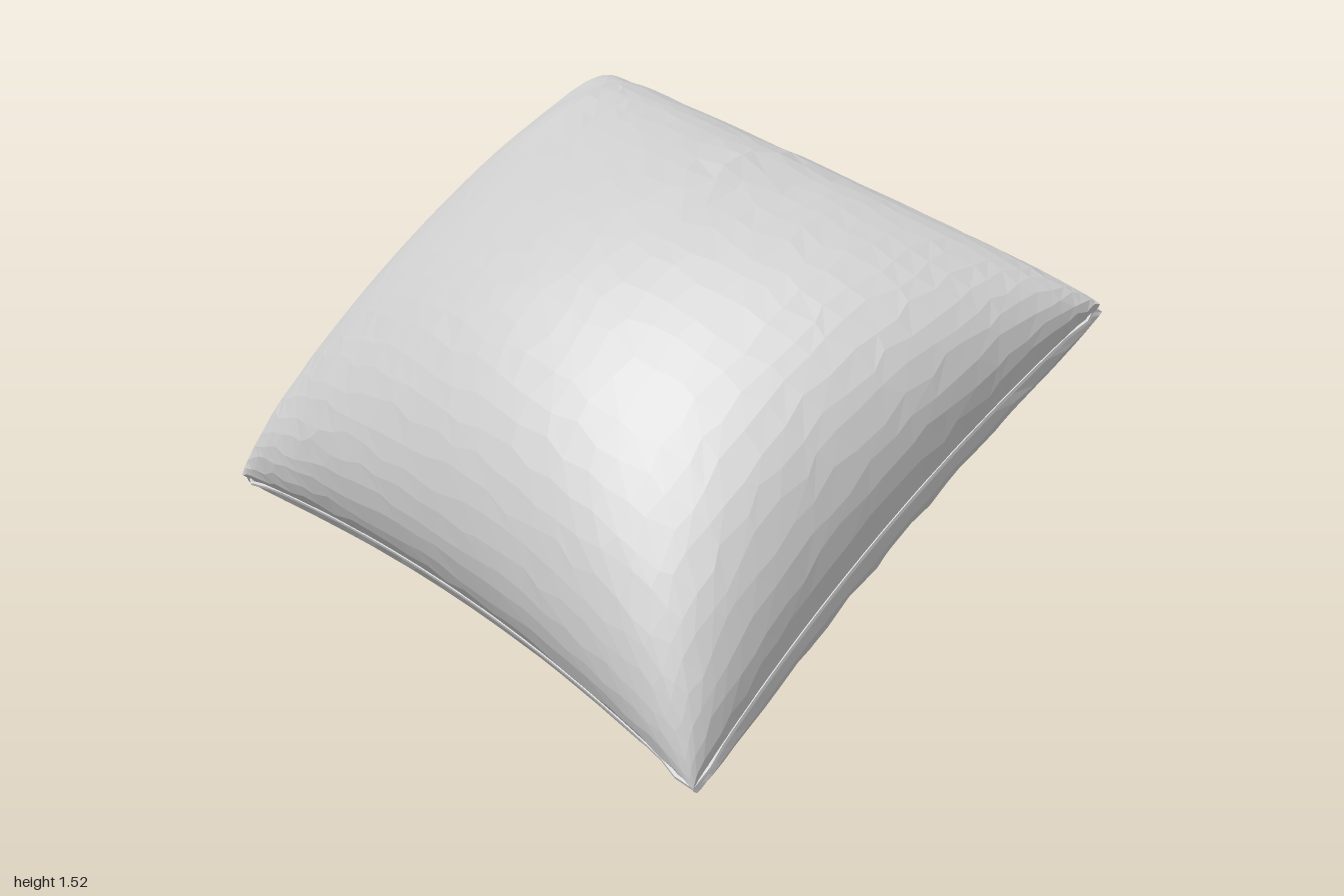
import * as THREE from 'three';

// Seam corners: a runs from the low edge to the high edge, b from front to back
const LOW_FRONT = new THREE.Vector3(-0.45, 0.005, 0.995);
const HIGH_FRONT = new THREE.Vector3(0.805, 1.06, 0.985);
const HIGH_BACK = new THREE.Vector3(0.515, 1.475, -0.99);
const LOW_BACK = new THREE.Vector3(-0.795, 0.36, -0.98);
const NORMAL = new THREE.Vector3(-0.629, 0.737, 0.245);
const NA = 30, NB = 34;

// Dome height and fullness towards each edge (lower power = fuller)
const UPPER = { side: 1, height: 0.53, low: 0.88, high: 0.7, front: 0.82, back: 0.82 };
const LOWER = { side: -1, height: 0.3, low: 0.62, high: 0.55, front: 0.8, back: 0.55 };

// Small repeatable noise in -0.5..0.5
const noise = (i, j, k) => {
  const s = Math.sin(i * 127.1 + j * 311.7 + k * 74.7) * 43758.5453;
  return s - Math.floor(s) - 0.5;
};

// Point in the plane of the seam, with the four edges drawn inward
function seamPoint(a, b) {
  const a2 = a * (1 - (a > 0 ? 0.055 : 0.09) * (1 - b * b));
  const b2 = b * (1 - (b > 0 ? 0.04 : 0.065) * (1 - a * a));
  const front = LOW_FRONT.clone().lerp(HIGH_FRONT, (a2 + 1) / 2);
  const back = LOW_BACK.clone().lerp(HIGH_BACK, (a2 + 1) / 2);
  return front.lerp(back, (b2 + 1) / 2);
}

// Gathers in the cloth: along the front below, along the high edge above
function folds(a, b, side) {
  const bump = (x, centre, width) => Math.exp(-(((x - centre) / width) ** 2));
  if (side < 0) return 0.02 * Math.sin(a * 22 + b * 3) * bump(b, -0.9, 0.3) * bump(a, -0.1, 0.6);
  const high = Math.sin(b * 17 + a * 4) * bump(a, 0.8, 0.3) * (bump(b, 0.7, 0.3) + bump(b, -0.1, 0.2));
  const low = Math.sin(b * 20 - a * 3) * bump(a, -0.9, 0.25) * bump(b, 0.8, 0.25);
  return 0.018 * high + 0.01 * low;
}

// One domed half of the cushion
function makePanel({ side, height, low, high, front, back }) {
  const positions = [], index = [];
  for (let j = 0; j <= NB; j++) {
    for (let i = 0; i <= NA; i++) {
      const edge = i === 0 || j === 0 || i === NA || j === NB;
      const jit = edge ? 0 : 0.5;
      const ta = ((i + jit * noise(i, j, side)) / NA - 0.5) * Math.PI;
      const tb = ((j + jit * noise(i, j, side + 5)) / NB - 0.5) * Math.PI;
      const a = Math.sin(ta), b = Math.sin(tb);
      const ca = Math.cos(ta), cb = Math.cos(tb);
      let lift = 0;
      if (!edge) {
        const dome = Math.pow(ca, a > 0 ? high : low) * Math.pow(cb, b > 0 ? back : front);
        const fade = Math.min(1, 1.6 * ca) * Math.min(1, 1.6 * cb);
        lift = side * (height * dome + folds(a, b, side) * fade);
      }
      // The rim sits slightly inside the dome to leave a seam groove
      const tuck = edge ? 0.99 : 1;
      const p = seamPoint(a * tuck, b * tuck).addScaledVector(NORMAL, lift);
      positions.push(p.x, p.y, p.z);
      if (i < NA && j < NB) {
        const p0 = j * (NA + 1) + i, p1 = p0 + 1, p2 = p1 + NA + 1, p3 = p0 + NA + 1;
        if (side > 0) index.push(p0, p1, p2, p0, p2, p3);
        else index.push(p0, p2, p1, p0, p3, p2);
      }
    }
  }
  const geometry = new THREE.BufferGeometry();
  geometry.setAttribute('position', new THREE.Float32BufferAttribute(positions, 3));
  geometry.setIndex(index);
  geometry.computeVertexNormals();
  return geometry;
}

// Thin stitched cord around the rim
function makeSeam() {
  const corners = [[-1, -1], [1, -1], [1, 1], [-1, 1]];
  const points = [], steps = 14;
  corners.forEach(([a0, b0], k) => {
    const [a1, b1] = corners[(k + 1) % 4];
    for (let s = 0; s < steps; s++) {
      const t = s / steps;
      points.push(seamPoint((a0 + (a1 - a0) * t) * 0.99, (b0 + (b1 - b0) * t) * 0.99));
    }
  });
  return new THREE.TubeGeometry(new THREE.CatmullRomCurve3(points, true), 112, 0.007, 5, true);
}

export function createModel() {
  const group = new THREE.Group();
  group.name = 'cushion';
  const cloth = new THREE.MeshStandardMaterial({
    color: 0xcccccc, flatShading: true, side: THREE.DoubleSide,
  });
  const add = (name, geometry) => {
    const mesh = new THREE.Mesh(geometry, cloth);
    mesh.name = name;
    group.add(mesh);
  };
  add('upperPanel', makePanel(UPPER));
  add('lowerPanel', makePanel(LOWER));
  add('seam', makeSeam());
  return group;
}
